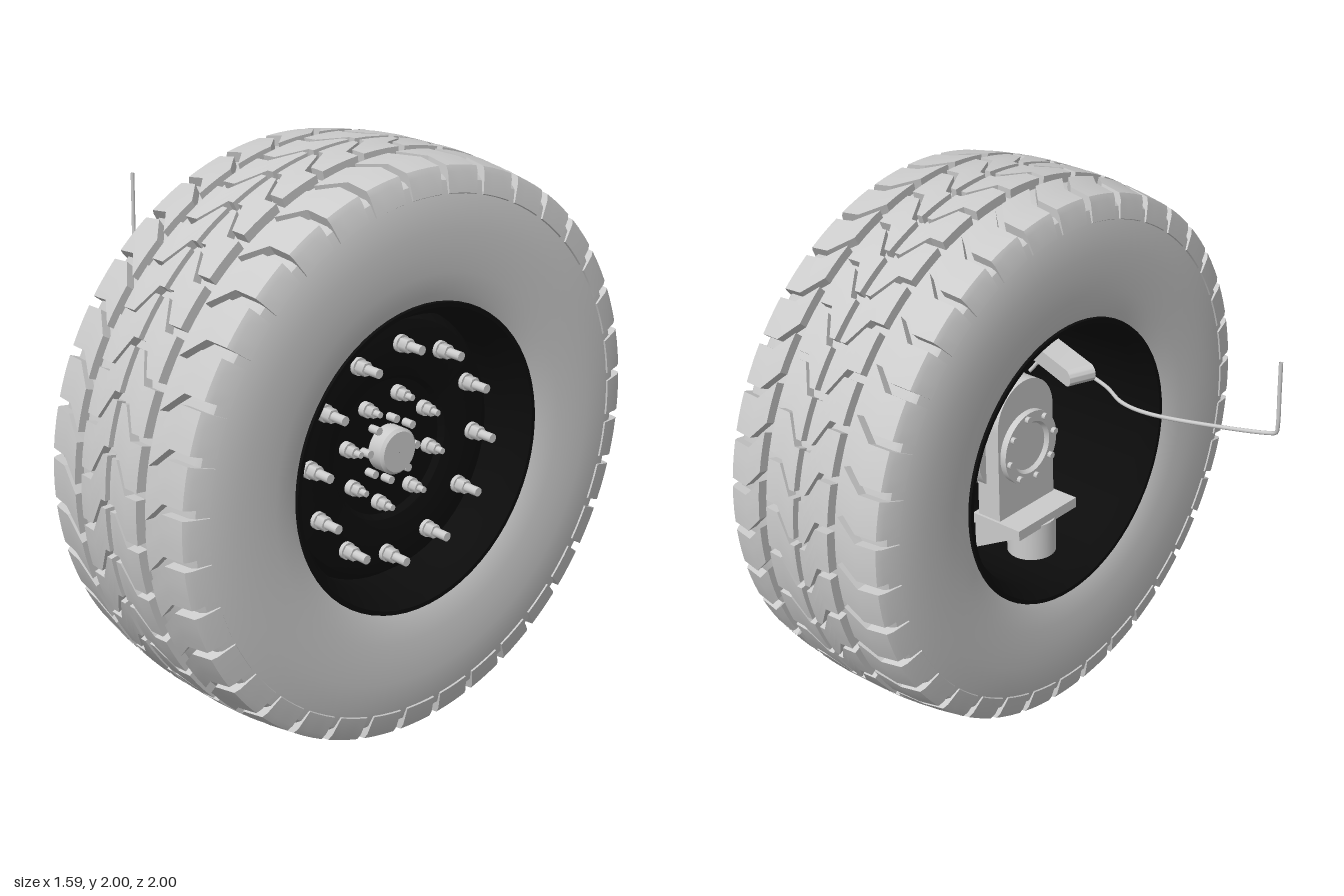
import * as THREE from 'three';
import { toCreasedNormals } from 'three/addons/utils/BufferGeometryUtils.js';

const grey = new THREE.MeshStandardMaterial({ color: 0xcccccc, side: THREE.DoubleSide });
const black = new THREE.MeshStandardMaterial({ color: 0x0c0c0c, side: THREE.DoubleSide });

function add(parent, name, geometry, material = grey) {
  const mesh = new THREE.Mesh(geometry, material);
  mesh.name = name;
  parent.add(mesh);
  return mesh;
}

// Lathe around the wheel axle (x), from [axial, radius] pairs
function axleLathe(points, segments) {
  const g = new THREE.LatheGeometry(points.map(([u, r]) => new THREE.Vector2(r, u)), segments);
  return toCreasedNormals(g.rotateZ(-Math.PI / 2), 0.6);
}

// Cylinder along x from x0 to x1
function axleCylinder(r, x0, x1, segments = 24) {
  return new THREE.CylinderGeometry(r, r, x1 - x0, segments)
    .rotateZ(-Math.PI / 2).translate((x0 + x1) / 2, 0, 0);
}

// Calls place(y, z) for n points on a circle in the wheel plane
function ring(n, radius, startDeg, place) {
  for (let i = 0; i < n; i++) {
    const a = THREE.MathUtils.degToRad(startDeg) + (i / n) * Math.PI * 2;
    place(radius * Math.cos(a), -radius * Math.sin(a));
  }
}

// Tread lug stations: [axial, radius, zigzag offset, base axial, base radius]
const CENTRE_LUG = [
  [0.012, 1, 0, 0.012, 0.94], [0.035, 1, 0, 0.035, 0.94],
  [0.088, 1, -0.1, 0.088, 0.94], [0.143, 0.997, -0.1, 0.143, 0.94],
];
const SHOULDER_LUG = [
  [0.183, 0.993, -0.005, 0.183, 0.93], [0.255, 0.984, 0.07, 0.255, 0.92],
  [0.335, 0.97, 0.07, 0.315, 0.91], [0.346, 0.95, 0.07, 0.32, 0.9],
  [0.361, 0.885, 0.07, 0.335, 0.87],
];

// All lugs of one rib, lofted through their stations
function treadRib(stations, count, gap) {
  const pos = [], pitch = (Math.PI * 2) / count, steps = 3;
  for (let k = 0; k < count; k++) {
    const loops = stations.map(([u, r, off, bu, br]) => {
      const t0 = k * pitch + off + gap / 2, t1 = (k + 1) * pitch + off - gap / 2;
      const top = [], base = [];
      for (let i = 0; i <= steps; i++) {
        const t = t0 + ((t1 - t0) * i) / steps;
        top.push([u, r * Math.sin(t), r * Math.cos(t)]);
        base.unshift([bu, br * Math.sin(t), br * Math.cos(t)]);
      }
      return [...top, ...base];
    });
    const n = loops[0].length, last = loops[loops.length - 1];
    for (let s = 0; s < loops.length - 1; s++) {
      for (let i = 0; i < n; i++) {
        const j = (i + 1) % n, A = loops[s], B = loops[s + 1];
        pos.push(...A[i], ...B[i], ...B[j], ...A[i], ...B[j], ...A[j]);
      }
    }
    for (let i = 0; i < steps; i++) {
      const j = n - 1 - i, f = loops[0];
      pos.push(...f[i], ...f[i + 1], ...f[j - 1], ...f[i], ...f[j - 1], ...f[j]);
      pos.push(...last[i], ...last[j - 1], ...last[i + 1], ...last[i], ...last[j], ...last[j - 1]);
    }
  }
  const g = new THREE.BufferGeometry();
  g.setAttribute('position', new THREE.Float32BufferAttribute(pos, 3));
  return toCreasedNormals(g, 0.3);
}

function buildTyre() {
  const tyre = new THREE.Group();
  tyre.name = 'tyre';
  const half = [[0.3, 0.5], [0.338, 0.525], [0.352, 0.56], [0.362, 0.63], [0.367, 0.7],
    [0.367, 0.77], [0.36, 0.87], [0.342, 0.925], [0.325, 0.938], [0.16, 0.962], [0, 0.967]];
  const mirrored = half.map(([u, r]) => [-u, r]);
  add(tyre, 'carcass', axleLathe([...mirrored, ...half.slice(0, -1).reverse()], 96));
  for (const [name, lug, gap] of [['centreTread', CENTRE_LUG, 0.026], ['shoulderTread', SHOULDER_LUG, 0.034]]) {
    add(tyre, name + 'Left', treadRib(lug, 36, gap));
    const flipped = lug.map(([u, r, o, bu, br]) => [-u, r, o, -bu, br]).reverse();
    add(tyre, name + 'Right', treadRib(flipped, 36, gap));
  }
  return tyre;
}

function buildRim() {
  const rim = new THREE.Group();
  rim.name = 'rim';
  // Barrel with a lip on each side
  add(rim, 'barrel', axleLathe([[-0.335, 0.535], [-0.35, 0.53], [-0.35, 0.515], [-0.325, 0.5], [-0.29, 0.48],
    [0.24, 0.47], [0.29, 0.48], [0.325, 0.5], [0.35, 0.515], [0.35, 0.53], [0.335, 0.535]], 64), black);
  // Wheel disc, dished around the hub
  add(rim, 'disc', axleLathe([[0.15, 0.475], [0.2, 0.44], [0.21, 0.41], [0.21, 0.29], [0.2, 0.25],
    [0.18, 0.235], [0.18, 0.001]], 64), black);

  ring(12, 0.365, 3.5, (y, z) => {
    const nut = new THREE.Group();
    nut.name = 'wheelNut';
    add(nut, 'washer', axleCylinder(0.03, 0.2, 0.225, 16));
    add(nut, 'nut', axleCylinder(0.025, 0.225, 0.26, 6));
    add(nut, 'stud', axleCylinder(0.016, 0.26, 0.315, 12));
    nut.position.set(0, y, z);
    rim.add(nut);
  });
  ring(8, 0.188, 12, (y, z) => {
    const bolt = new THREE.Group();
    bolt.name = 'hubBolt';
    add(bolt, 'washer', axleCylinder(0.026, 0.17, 0.205, 16));
    add(bolt, 'head', axleCylinder(0.02, 0.205, 0.235, 6));
    add(bolt, 'tip', axleCylinder(0.011, 0.235, 0.26, 12));
    bolt.position.set(0, y, z);
    rim.add(bolt);
  });
  add(rim, 'hubCap', axleLathe([[0.17, 0.08], [0.235, 0.08], [0.245, 0.07], [0.245, 0.001]], 32));
  ring(8, 0.106, 5, (y, z) => {
    add(rim, 'capBolt', axleCylinder(0.014, 0.17, 0.22, 12)).position.set(0, y, z);
  });
  return rim;
}

// Upright, flange and motor behind the disc
function buildHub() {
  const hub = new THREE.Group();
  hub.name = 'hub';
  add(hub, 'drum', axleCylinder(0.19, -0.08, 0.17, 40));
  const plate = new THREE.Shape();
  plate.absarc(0, 0.11, 0.15, 0, Math.PI, false);
  plate.lineTo(-0.15, -0.26);
  plate.lineTo(0.15, -0.26);
  add(hub, 'upright', new THREE.ExtrudeGeometry(plate, { depth: 0.1, bevelEnabled: false, curveSegments: 20 })
    .rotateY(Math.PI / 2).translate(-0.14, 0, 0));
  add(hub, 'flange', axleLathe([[-0.13, 0.14], [-0.165, 0.14], [-0.165, 0.1], [-0.15, 0.09], [-0.15, 0.001]], 40));
  ring(8, 0.122, 10, (y, z) => {
    add(hub, 'flangeBolt', axleCylinder(0.013, -0.18, -0.16, 8)).position.set(0, y, z);
  });
  add(hub, 'bracket', new THREE.BoxGeometry(0.22, 0.04, 0.32)).position.set(-0.13, -0.27, 0);
  add(hub, 'motor', new THREE.CylinderGeometry(0.09, 0.09, 0.14, 28)).position.set(-0.16, -0.35, 0);
  // Triangular gussets beside the motor
  const rib = new THREE.Shape([[-0.24, -0.28], [-0.02, -0.28], [-0.02, -0.4]].map(p => new THREE.Vector2(...p)));
  for (const z of [-0.15, 0.13]) {
    add(hub, 'gusset', new THREE.ExtrudeGeometry(rib, { depth: 0.02, bevelEnabled: false })).position.z = z;
  }
  return hub;
}

export function createModel() {
  const model = new THREE.Group();
  const wheel = new THREE.Group();
  wheel.name = 'wheel';
  wheel.position.set(0.423, 1, 0);
  wheel.add(buildTyre(), buildRim(), buildHub());
  model.add(wheel);

  // Slanted arm with rounded ends reaching out of the rim
  const arm = new THREE.Shape();
  arm.absarc(0.12, 0, 0.03, -Math.PI / 2, Math.PI / 2, false);
  arm.absarc(-0.12, 0, 0.03, Math.PI / 2, Math.PI * 1.5, false);
  const armMesh = add(model, 'arm', toCreasedNormals(
    new THREE.ExtrudeGeometry(arm, { depth: 0.1, bevelEnabled: false }).translate(0, 0, -0.05), 0.6));
  armMesh.position.set(0.118, 1.383, 0.005);
  armMesh.rotation.y = -0.37;

  // Thin bent line ending in an upright tip
  const path = new THREE.CatmullRomCurve3([
    [-0.79, 1.66, -0.005], [-0.79, 1.55, -0.005], [-0.79, 1.44, -0.005], [-0.783, 1.408, -0.002], [-0.755, 1.396, 0],
    [-0.6, 1.383, -0.042], [-0.33, 1.361, -0.083], [-0.2, 1.351, -0.06], [-0.08, 1.348, 0.005],
    [0.06, 1.348, 0.05], [0.24, 1.35, 0.09], [0.32, 1.26, 0.07],
  ].map(p => new THREE.Vector3(...p)), false, 'centripetal');
  add(model, 'line', new THREE.TubeGeometry(path, 120, 0.007, 8));
  return model;
}
